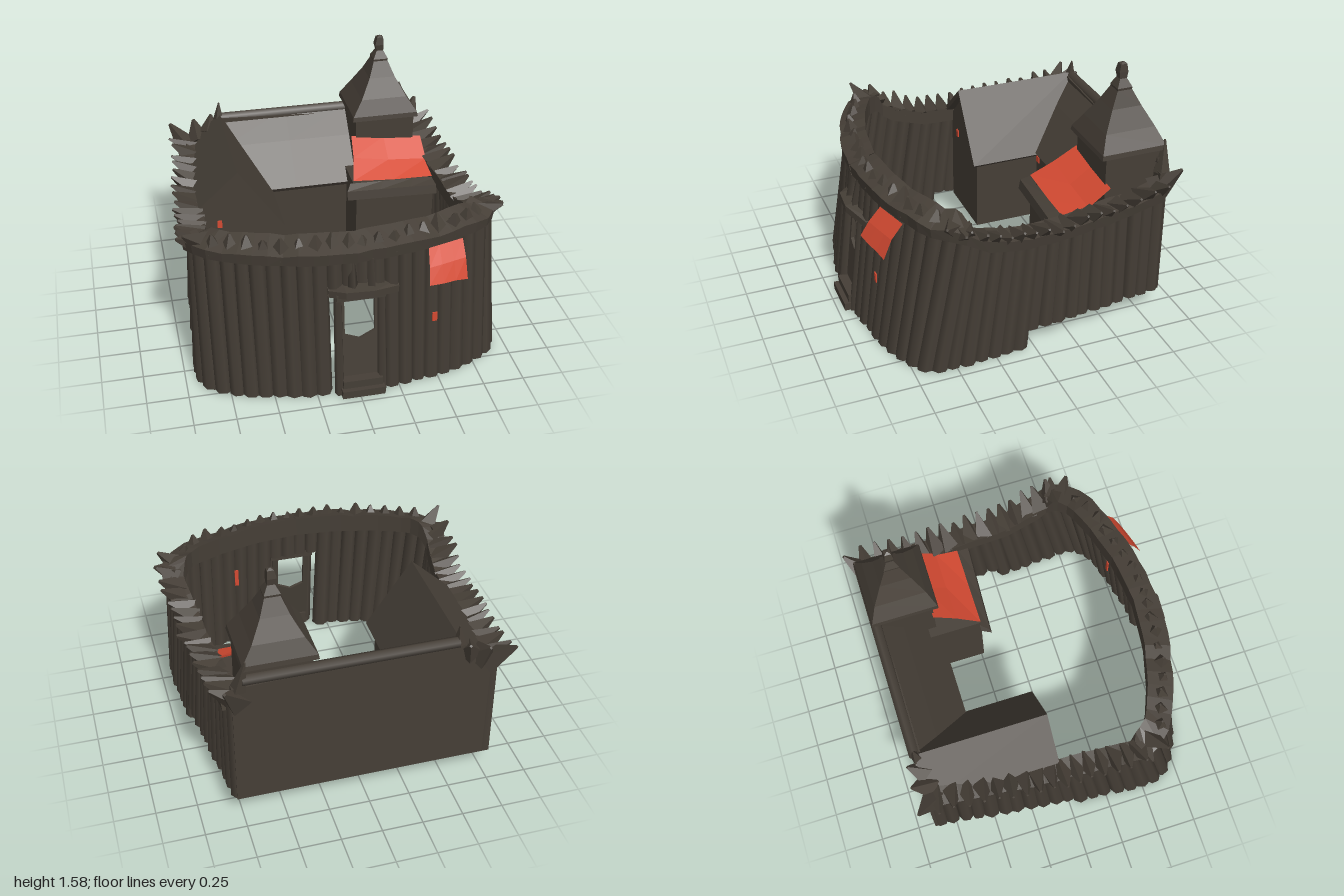
import * as THREE from 'three';
import { mergeGeometries } from 'three/addons/utils/BufferGeometryUtils.js';

const wood = new THREE.MeshStandardMaterial({ name: 'weathered wood', color: 0x453e36, side: THREE.DoubleSide });
const red = new THREE.MeshStandardMaterial({ name: 'red cloth', color: 0xd44a32, side: THREE.DoubleSide });

let seed = 7;
const rnd = (a, b) => {
  seed = (seed * 16807) % 2147483647;
  return a + (b - a) * (seed / 2147483647);
};

// Wall stations on the +x half, from front centre to back corner:
// [bottom x, bottom z, top x, top z, top y]
const STATIONS = [
  [0, 0.875, 0, 0.765, 0.9], [0.3, 0.85, 0.3, 0.735, 0.9], [0.55, 0.8, 0.56, 0.665, 0.9],
  [0.77, 0.73, 0.78, 0.575, 0.9], [0.885, 0.63, 0.885, 0.45, 0.89], [0.89, 0.46, 0.86, 0.33, 0.79],
  [0.87, 0.2, 0.83, 0.1, 0.73], [0.85, -0.1, 0.82, -0.15, 0.73], [0.81, -0.45, 0.79, -0.46, 0.75],
  [0.76, -0.845, 0.76, -0.845, 0.81],
];
const LENGTHS = [0];
for (let i = 1; i < STATIONS.length; i++) {
  const [a, b] = [STATIONS[i - 1], STATIONS[i]];
  LENGTHS.push(LENGTHS[i - 1] + Math.hypot(b[0] - a[0], b[1] - a[1]));
}
const TOTAL = LENGTHS[LENGTHS.length - 1];
function station(d) {
  let i = 1;
  while (i < STATIONS.length - 1 && LENGTHS[i] < d) i++;
  const t = (d - LENGTHS[i - 1]) / (LENGTHS[i] - LENGTHS[i - 1]);
  return STATIONS[i].map((v, k) => THREE.MathUtils.lerp(STATIONS[i - 1][k], v, t));
}

function faceted(g) {
  const f = g.index ? g.toNonIndexed() : g;
  f.computeVertexNormals();
  return f;
}
// Surface through rows of points
function loft(rows) {
  const n = rows[0].length, idx = [];
  for (let i = 0; i < rows.length - 1; i++)
    for (let j = 0; j < n - 1; j++) {
      const a = i * n + j;
      idx.push(a, a + n, a + 1, a + 1, a + n, a + n + 1);
    }
  const g = new THREE.BufferGeometry();
  g.setAttribute('position', new THREE.Float32BufferAttribute(rows.flat(2), 3));
  g.setIndex(idx);
  return faceted(g);
}
// Tapered post between two points, cut level at both ends
function post(b, t, r, r2 = r * 0.88, sides = 8) {
  const g = new THREE.CylinderGeometry(r2, r, 1, sides, 1);
  g.rotateY(rnd(0, 1));
  const p = g.attributes.position;
  for (let i = 0; i < p.count; i++) {
    const k = p.getY(i) + 0.5;
    p.setXYZ(i, p.getX(i) + b[0] + (t[0] - b[0]) * k, b[1] + (t[1] - b[1]) * k, p.getZ(i) + b[2] + (t[2] - b[2]) * k);
  }
  return g;
}
// Four-sided blunt shard from a base point to a tip
function shard(base, tip, w) {
  const a = new THREE.Vector3(...base), d = new THREE.Vector3(...tip).sub(a);
  const g = new THREE.CylinderGeometry(w * 0.12, w, d.length(), 4).translate(0, d.length() / 2, 0).rotateY(rnd(0, 1.5));
  g.applyQuaternion(new THREE.Quaternion().setFromUnitVectors(new THREE.Vector3(0, 1, 0), d.normalize()));
  return faceted(g.translate(...base));
}
function extrude(points, depth) {
  const s = new THREE.Shape(points.map(([x, y]) => new THREE.Vector2(x, y)));
  return new THREE.ExtrudeGeometry(s, { depth, bevelEnabled: false });
}
const box = (x0, x1, y0, y1, z0, z1) =>
  new THREE.BoxGeometry(x1 - x0, y1 - y0, z1 - z0).translate((x0 + x1) / 2, (y0 + y1) / 2, (z0 + z1) / 2);

export function createModel() {
  seed = 7;
  const root = new THREE.Group();
  root.name = 'woodenFort';
  const add = (name, geo, mat = wood) => {
    const m = new THREE.Mesh(geo, mat);
    m.name = name;
    root.add(m);
  };

  for (const s of [1, -1]) {
    const side = s > 0 ? 'left' : 'right';
    // Palisade logs
    const logs = [], count = 28;
    for (let i = 0; i <= count; i++) {
      const d = 0.04 + (TOTAL - 0.04) * i / count;
      const [bx, bz, tx, tz, ty] = station(d);
      const yb = bz < 0.02 ? 0.125 : 0;
      const overDoor = bx < 0.14 && bz > 0.5;
      const k = overDoor ? 0.67 / ty : 0;
      const j = rnd(-0.008, 0.008);
      logs.push(post([(bx + (tx - bx) * k) * s, overDoor ? 0.67 : yb, bz + (tz - bz) * k + j],
        [tx * s, ty + 0.02, tz + j], rnd(0.048, 0.058), rnd(0.045, 0.053), 7));
    }
    add(side + 'PalisadeLogs', mergeGeometries(logs));

    // Rim beam on top of the wall, sloping up towards the yard along the front
    const rows = [], spikes = [];
    const frame = (d) => {
      const [, , x, z, y] = station(d);
      const p = station(Math.max(d - 0.08, 0)), q = station(Math.min(d + 0.08, TOTAL));
      const n = new THREE.Vector2(-(q[3] - p[3]), q[2] - p[2]).normalize();
      return { x, y, z, nx: d < 0.02 ? 0 : n.x, nz: d < 0.02 ? 1 : n.y };
    };
    for (let i = 0; i <= 30; i++) {
      const { x, y, z, nx, nz } = frame(TOTAL * i / 30);
      const front = z > 0.42, o = 0.06 + rnd(0, 0.012), h = rnd(0.03, 0.05);
      const at = (u, v) => [(x + nx * u) * s, y + v, z + nz * u];
      const inn = front ? -0.085 : -0.05;
      rows.push([at(inn, -0.03), at(o, -0.03), at(o + 0.01, h), at(inn, front ? h + 0.05 : h + 0.02), at(inn, -0.03)]);
    }
    add(side + 'RimBeam', loft(rows));
    // Broad hewn stakes along the rim
    for (let i = 0; i <= 25; i++) {
      const { x, y, z, nx, nz } = frame(0.04 + (TOTAL - 0.06) * i / 25);
      const front = z > 0.5;
      const inn = front ? 0.0 : -0.02, out = front ? rnd(-0.03, 0.03) : rnd(0.115, 0.14);
      const up = front ? rnd(0.1, 0.14) : rnd(0.08, 0.12);
      spikes.push(shard([(x + nx * inn) * s, y + 0.01, z + nz * inn],
        [Math.min(x + nx * out, 0.98) * s, y + up, z + nz * out], front ? rnd(0.06, 0.075) : rnd(0.07, 0.08)));
    }
    spikes.push(shard([0.87 * s, 0.89, 0.44], [0.99 * s, 0.93, 0.46], 0.075));
    add(side + 'RimStakes', mergeGeometries(spikes));
  }

  // Back wall with a shoulder dropping to the low corner
  add('backWall', extrude([[-0.8, 0.12], [0.78, 0.12], [0.78, 0.95], [-0.55, 1.01], [-0.8, 0.8]], 0.05).translate(0, 0, -0.89));
  add('backRidgeBeam', post([0, 0, 0], [0, 1.27, 0], 0.035, 0.035, 6).rotateZ(Math.PI / 2).translate(0.72, 1, -0.88));
  const cornerStakes = [
    shard([0.74, 0.83, -0.84], [0.83, 0.98, -0.955], 0.09), shard([0.74, 0.93, -0.87], [0.7, 1.13, -0.9], 0.05),
    shard([-0.76, 0.8, -0.84], [-0.88, 0.95, -0.955], 0.09), shard([-0.56, 0.98, -0.87], [-0.55, 1.11, -0.88], 0.04),
    shard([-0.7, 0.85, -0.85], [-0.72, 0.97, -0.95], 0.085), shard([-0.63, 0.9, -0.86], [-0.6, 1.0, -0.94], 0.075),
  ];
  add('backCornerStakes', mergeGeometries(cornerStakes));

  // Gabled hall along the right wall
  add('gabledHall', extrude([[-0.78, 0.12], [-0.31, 0.12], [-0.31, 0.63], [-0.55, 0.99], [-0.78, 0.76]], 0.78).translate(0, 0, -0.88));
  add('gabledHallRoof', extrude([[-0.28, 0.59], [-0.26, 0.61], [-0.55, 1.03], [-0.8, 0.8], [-0.79, 0.77], [-0.55, 0.99]], 0.82)
    .translate(0, 0, -0.88));

  // Lean-to along the back wall
  add('backLeanTo', box(-0.5, 0.35, 0.12, 0.62, -0.88, -0.53));
  add('backLeanToRoof', loft([-0.55, -0.1, 0.34].map((x) => [
    [x, 1.02, -0.88], [x, 0.86, -0.72], [x, 0.62, -0.5], [x, 0.59, -0.52], [x, 0.97, -0.88]])));

  // Store under the tower, with its cloth awning
  add('leftStore', box(0.25, 0.77, 0.12, 0.7, -0.88, -0.24));
  add('awning', loft([[0.28, 0.23, 0.95, 0.86, 0.77], [0.5, 0.5, 0.92, 0.82, 0.75], [0.755, 0.765, 0.9, 0.8, 0.745]]
    .map(([a, b, y0, y1, y2]) => [[a, y0, -0.53], [(a * 2 + b) / 3, y1, -0.39], [b, y2, -0.245]])), red);
  add('awningFringe', loft([0.18, 0.4, 0.6, 0.77].map((x, i) => [
    [x + 0.03, 0.75 - i * 0.005, -0.25], [x, 0.72, -0.2 + i * 0.01], [x, 0.66, -0.19 + i * 0.01], [x + 0.03, 0.66, -0.25]])));

  // Corner tower
  add('towerBody', box(0.31, 0.7, 0.6, 1.09, -0.88, -0.52));
  const quad = (y, hx, hz = hx, dx = 0) => [[1, 1], [1, -1], [-1, -1], [-1, 1], [1, 1]]
    .map(([a, b]) => [0.5 + dx + a * hx, y, -0.695 + b * hz]);
  add('towerRoof', loft([quad(1.08, 0.02), quad(1.07, 0.22, 0.21), quad(1.1, 0.215, 0.205), quad(1.2, 0.15, 0.16), quad(1.32, 0.085, 0.095), quad(1.42, 0.045)]));
  add('towerFinial', loft([quad(1.4, 0.045), quad(1.43, 0.048), quad(1.48, 0.022), quad(1.52, 0.028, 0.028, -0.005), quad(1.57, 0.02), quad(1.58, 0.004)]));

  // Doorway: half-height door with notched top, jambs, porch board and step
  const tilt = (g) => g.rotateX(-0.12).translate(0, 0, 0.865);
  add('doorPanel', tilt(extrude([[-0.11, 0], [0.14, 0], [0.14, 0.64], [0.105, 0.64], [0.105, 0.39], [0.015, 0.345], [-0.075, 0.38], [-0.075, 0.64], [-0.11, 0.64]], 0.02)));
  for (const x of [-0.115, 0.145]) add('doorJamb', post([x, 0, 0.9], [x, 0.67, 0.82], 0.03, 0.025, 5));
  add('doorLintel', box(-0.13, 0.16, 0.635, 0.68, 0.76, 0.86));
  add('porchBoard', loft([[-0.17, 0.71, 0.82], [-0.08, 0.73, 0.89], [0.08, 0.73, 0.9], [0.25, 0.69, 0.82]].map(([x, y, z]) => [
    [x, y, 0.78], [x, y - 0.015, z], [x, y - 0.06, z], [x, y - 0.06, 0.78], [x, y, 0.78]])));
  for (const x of [-0.03, 0.08]) add('porchBrace', post([x, 0.7, 0.84], [x, 0.88, 0.8], 0.03, 0.025, 4));
  add('doorStepLower', box(-0.11, 0.15, 0, 0.05, 0.86, 0.96));
  add('doorStepUpper', box(-0.1, 0.14, 0.05, 0.1, 0.84, 0.93));

  // Red banner hanging off the front wall, and small scraps of cloth
  add('frontBanner', loft([[0.43, 0.41, 0.7], [0.5, 0.5, 0.69], [0.58, 0.58, 0.685], [0.655, 0.66, 0.67]].map(([a, b, y]) => [
    [a, 0.88, 0.78 - (a - 0.43) * 0.28], [(a + b) / 2, 0.79, 0.85 - (a - 0.43) * 0.28], [b, y, 0.9 - (a - 0.43) * 0.28]])), red);
  const scrap = (x, y, z, w, h) => add('clothScrap', box(x - w / 2, x + w / 2, y - h / 2, y + h / 2, z, z + 0.008), red);
  scrap(0.47, 0.43, 0.835, 0.03, 0.06);
  scrap(0.42, 0.6, 0.675, 0.025, 0.12);
  scrap(-0.28, 0.56, -0.53, 0.04, 0.04);
  scrap(-0.67, 0.65, -0.1, 0.03, 0.05);

  return root;
}
